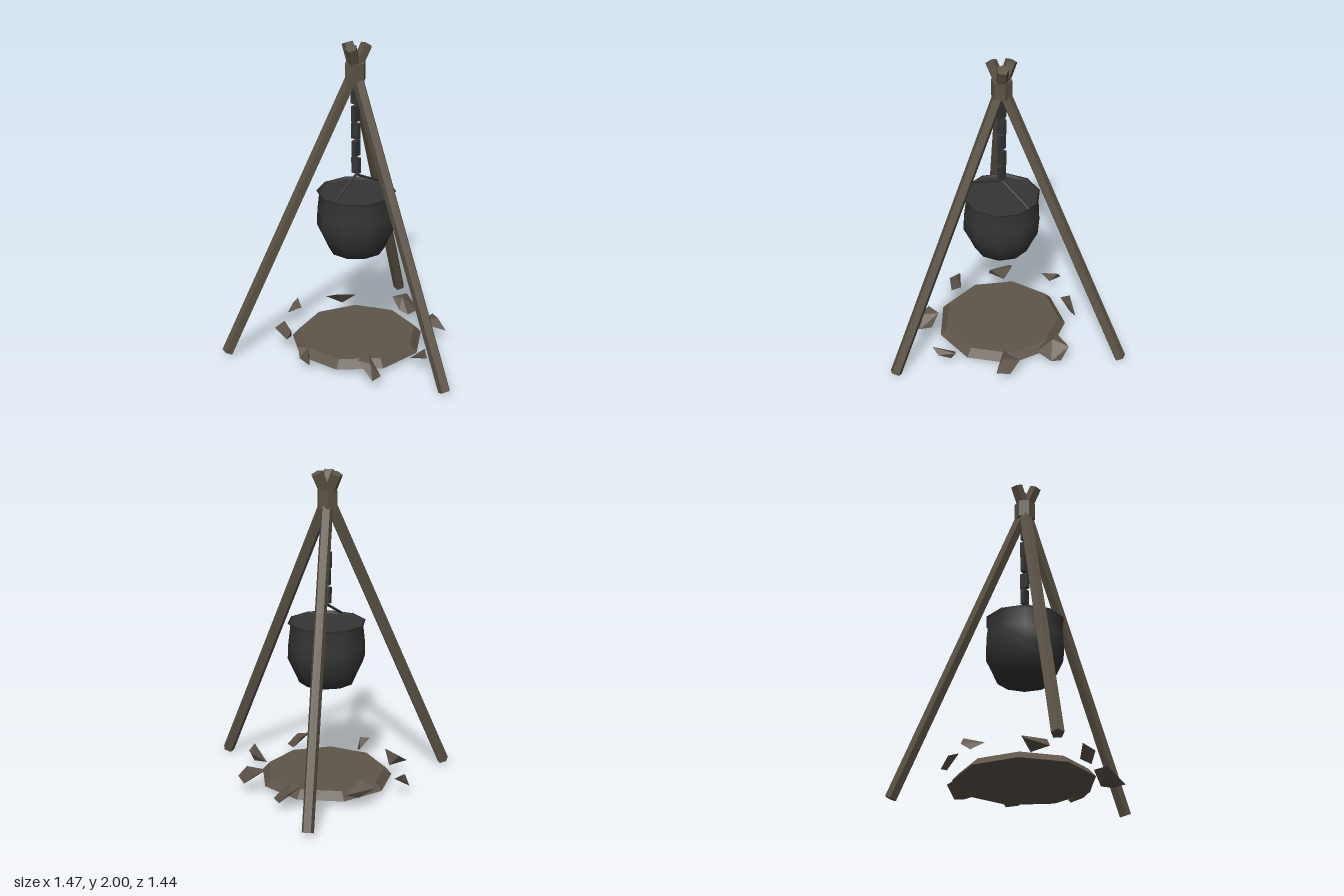
import * as THREE from 'three';
import { ConvexGeometry } from 'three/addons/geometries/ConvexGeometry.js';

const V = (x, y, z) => new THREE.Vector3(x, y, z);
const CX = -0.095, CZ = -0.125; // shared axis of pot, chain, bed and pole crossing

export function createModel() {
  const model = new THREE.Group();
  model.name = 'campfireTripod';
  const wood = new THREE.MeshStandardMaterial({ name: 'weathered wood', color: 0x5c5346, flatShading: true });
  const earth = new THREE.MeshStandardMaterial({ name: 'brown stone', color: 0x5e544a, flatShading: true });
  const iron = new THREE.MeshStandardMaterial({ name: 'dark iron', color: 0x353535, side: THREE.DoubleSide });

  const add = (name, geometry, material, x = 0, y = 0, z = 0) => {
    const mesh = new THREE.Mesh(geometry, material);
    mesh.name = name;
    mesh.position.set(x, y, z);
    model.add(mesh);
    return mesh;
  };
  // Straight rod between two points
  const rod = (name, a, b, radius, sides, material) => {
    const dir = b.clone().sub(a);
    const mesh = add(name, new THREE.CylinderGeometry(radius, radius, dir.length(), sides), material);
    mesh.position.copy(a).lerp(b, 0.5);
    mesh.quaternion.setFromUnitVectors(V(0, 1, 0), dir.normalize());
    return mesh;
  };

  // Three poles crossing at the lashing
  const crossing = V(CX, 1.83, CZ);
  const feet = { left: V(0.7, 0.017, -0.375), right: V(-0.7, 0.017, -0.69), front: V(-0.28, 0.01, 0.68) };
  for (const [side, foot] of Object.entries(feet)) {
    rod(side + 'Pole', foot, foot.clone().lerp(crossing, 1.085), 0.038, 5, wood);
  }
  add('lashing', new THREE.CylinderGeometry(0.065, 0.065, 0.11, 6), wood, CX, 1.825, CZ);

  // Hanging chain: flat links turned by a quarter each time
  for (let i = 0; i < 5; i++) {
    const link = add('chainLink', new THREE.BoxGeometry(0.028, 0.1, 0.052), iron, CX, 1.225 + i * 0.111, CZ);
    if (i % 2) link.rotation.y = Math.PI / 2;
  }

  // Pot with a flared rim, and the flat surface just below it
  const profile = [[0, 0.67], [0.172, 0.67], [0.205, 0.745], [0.245, 0.83], [0.241, 0.93], [0.228, 1.04],
    [0.245, 1.055], [0.232, 1.055], [0.225, 1.04]].map(([r, y]) => new THREE.Vector2(r, y));
  add('pot', new THREE.LatheGeometry(profile, 10), iron, CX, 0, CZ);
  const contents = add('potContents', new THREE.CircleGeometry(0.228, 10, Math.PI / 2), iron, CX, 1.042, CZ);
  contents.rotation.x = -Math.PI / 2;

  // Bent handle
  for (const s of [-1, 1]) {
    rod('potHandle', V(CX + s * 0.225, 1.05, CZ), V(CX, 1.165, CZ), 0.008, 6, iron);
  }

  // Fire bed
  add('fireBed', new THREE.CylinderGeometry(0.375, 0.42, 0.05, 9, 1, false, Math.PI / 2), earth, CX, 0.055, CZ);

  // Ring of jagged stones, each the hull of a few corners
  const stones = [
    [[-0.18, 0.1, -0.63], [-0.12, 0.055, -0.685], [-0.057, 0.1, -0.69], [-0.05, 0.145, -0.655], [-0.08, 0.1, -0.6]],
    [[-0.4, 0.1, -0.555], [-0.345, 0.14, -0.52], [-0.36, 0.06, -0.45], [-0.46, 0.09, -0.405], [-0.43, 0.14, -0.39]],
    [[-0.61, 0.1, -0.175], [-0.56, 0.14, -0.227], [-0.51, 0.07, -0.18], [-0.56, 0.04, -0.14], [-0.535, 0.145, -0.17]],
    [[-0.475, 0.14, 0.17], [-0.375, 0.14, 0.18], [-0.38, 0.055, 0.245], [-0.425, 0.055, 0.31], [-0.51, 0.06, 0.31], [-0.45, 0.13, 0.25]],
    [[-0.11, 0.04, 0.305], [-0.05, 0.1, 0.37], [-0.13, 0.09, 0.445], [-0.19, 0.12, 0.435], [-0.08, 0.05, 0.38]],
    [[0.175, 0.12, 0.16], [0.32, 0.13, 0.17], [0.31, 0.06, 0.25], [0.255, 0.08, 0.32], [0.25, 0.155, 0.26]],
    [[0.345, 0.14, -0.17], [0.465, 0.125, -0.14], [0.46, 0.05, -0.07], [0.425, 0.06, -0.015], [0.305, 0.07, -0.015], [0.295, 0.09, -0.08], [0.36, 0.15, -0.1]],
    [[0.13, 0.11, -0.56], [0.285, 0.1, -0.43], [0.13, 0.155, -0.46], [0.2, 0.06, -0.48]],
  ];
  for (const corners of stones) add('stone', new ConvexGeometry(corners.map((c) => V(...c))), earth);

  return model;
}
